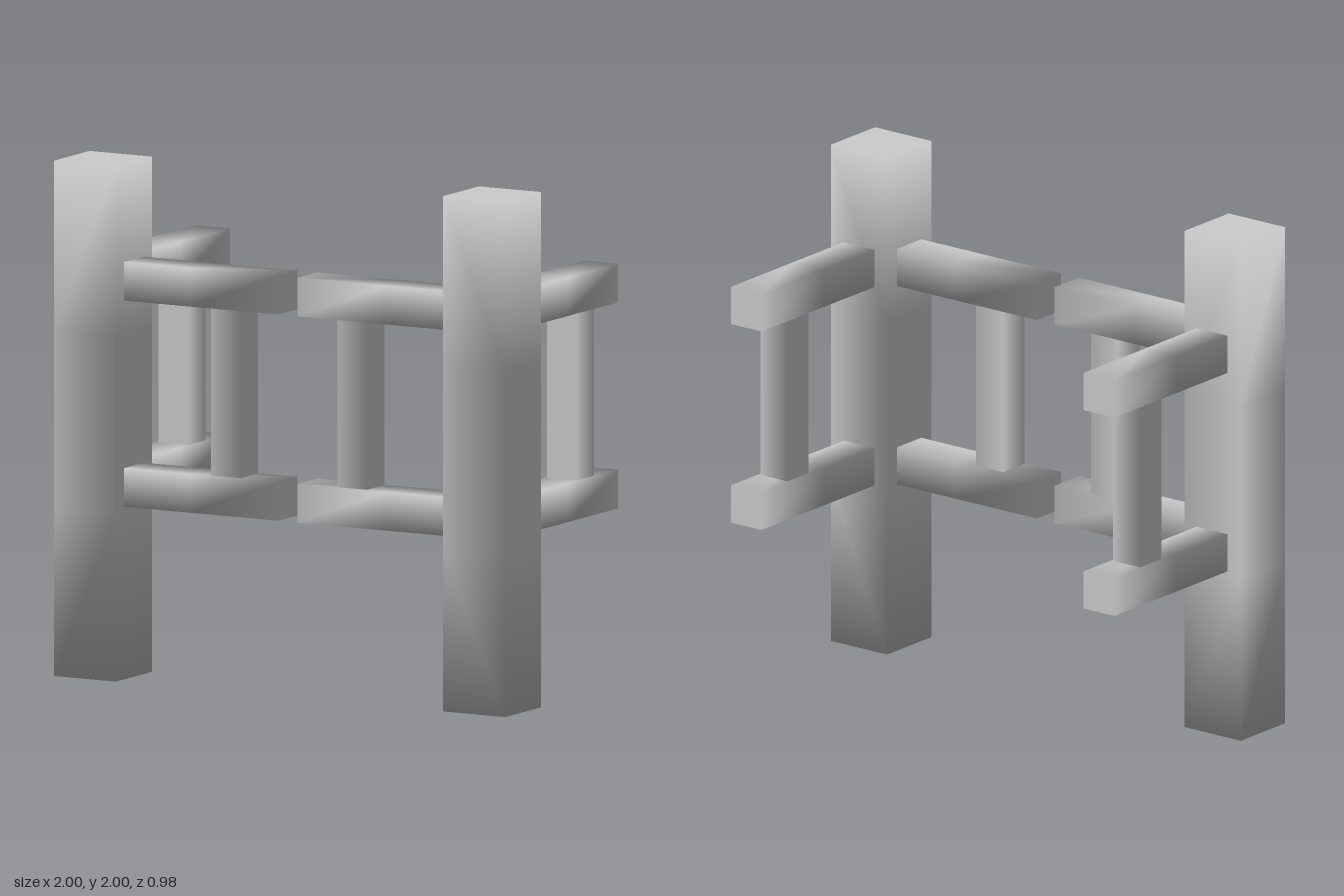
import * as THREE from 'three';

const material = new THREE.MeshStandardMaterial({ color: 0xcccccc });
const vec = (x, y, z) => new THREE.Vector3(x, y, z);
const X = vec(1, 0, 0), Y = vec(0, 1, 0), Z = vec(0, 0, 1);
const NX = vec(-1, 0, 0), NY = vec(0, -1, 0), NZ = vec(0, 0, -1);

// Square beam with shared soft normals, running from start along w.
// u and v span its section. Each station is [distance, end]: end 0 takes the
// edge normals, -1 or 1 the normal of the start or end cap.
function beam(name, start, [u, v, w], half, stations, swapDiagonal = false) {
  const corners = [[1, 1], [-1, 1], [-1, -1], [1, -1]];
  const edgeNormals = [u, u.clone().negate(), v.clone().negate(), u];
  const positions = [], normals = [], index = [];
  for (const [distance, end] of stations) {
    corners.forEach(([a, b], i) => {
      const p = start.clone().addScaledVector(u, a * half)
        .addScaledVector(v, b * half).addScaledVector(w, distance);
      const n = end ? w.clone().multiplyScalar(end) : edgeNormals[i];
      positions.push(p.x, p.y, p.z);
      normals.push(n.x, n.y, n.z);
    });
  }

  // Keep faces outward for either handedness of the axes
  const mirrored = u.clone().cross(v).dot(w) < 0;
  const tri = (a, b, c) => index.push(...(mirrored ? [a, c, b] : [a, b, c]));
  for (let s = 0; s < stations.length - 1; s++) {
    for (let i = 0; i < 4; i++) {
      const a = s * 4 + i, b = s * 4 + (i + 1) % 4, c = b + 4, d = a + 4;
      if (swapDiagonal) {
        tri(a, b, c);
        tri(a, c, d);
      } else {
        tri(a, b, d);
        tri(b, c, d);
      }
    }
  }
  const last = (stations.length - 1) * 4;
  tri(0, 2, 1);
  tri(0, 3, 2);
  tri(last, last + 1, last + 2);
  tri(last, last + 2, last + 3);

  const geometry = new THREE.BufferGeometry();
  geometry.setAttribute('position', new THREE.Float32BufferAttribute(positions, 3));
  geometry.setAttribute('normal', new THREE.Float32BufferAttribute(normals, 3));
  geometry.setIndex(index);
  const mesh = new THREE.Mesh(geometry, material);
  mesh.name = name;
  return mesh;
}

export function createModel() {
  const model = new THREE.Group();
  model.name = 'cornerFence';

  for (const [sideName, s] of [['left', 1], ['right', -1]]) {
    const side = new THREE.Group();
    side.name = sideName + 'Corner';
    const inward = s > 0 ? NX : X;

    // Corner post
    side.add(beam('post', vec(s * 0.862, 0, 0.351), [inward, Z, Y], 0.1375,
      [[0, -1], [0.65, 0], [1.34, 0], [2, 1]]));

    // Lower and upper rails, running inward and backward from the post
    for (const y of [0.745, 1.545]) {
      side.add(beam('frontRail', vec(s * 0.725, y, 0.35), [NY, Z, inward], 0.075,
        [[0, 0], [0.29, 0], [0.682, 1]], s < 0));
      side.add(beam('sideRail', vec(s * 0.86, y, 0.213), [NY, X, NZ], 0.075,
        [[0, 0], [0.319, 0], [0.701, 1]], true));
    }

    // One upright between each pair of rails
    const span = [[0, 0], [0.65, 0]];
    side.add(beam('frontUpright', vec(s * 0.28, 0.82, 0.35), [X, Z, Y], 0.066, span));
    side.add(beam('sideUpright', vec(s * 0.86, 0.82, -0.251), [Z, X, Y], 0.066, span));

    model.add(side);
  }
  return model;
}
